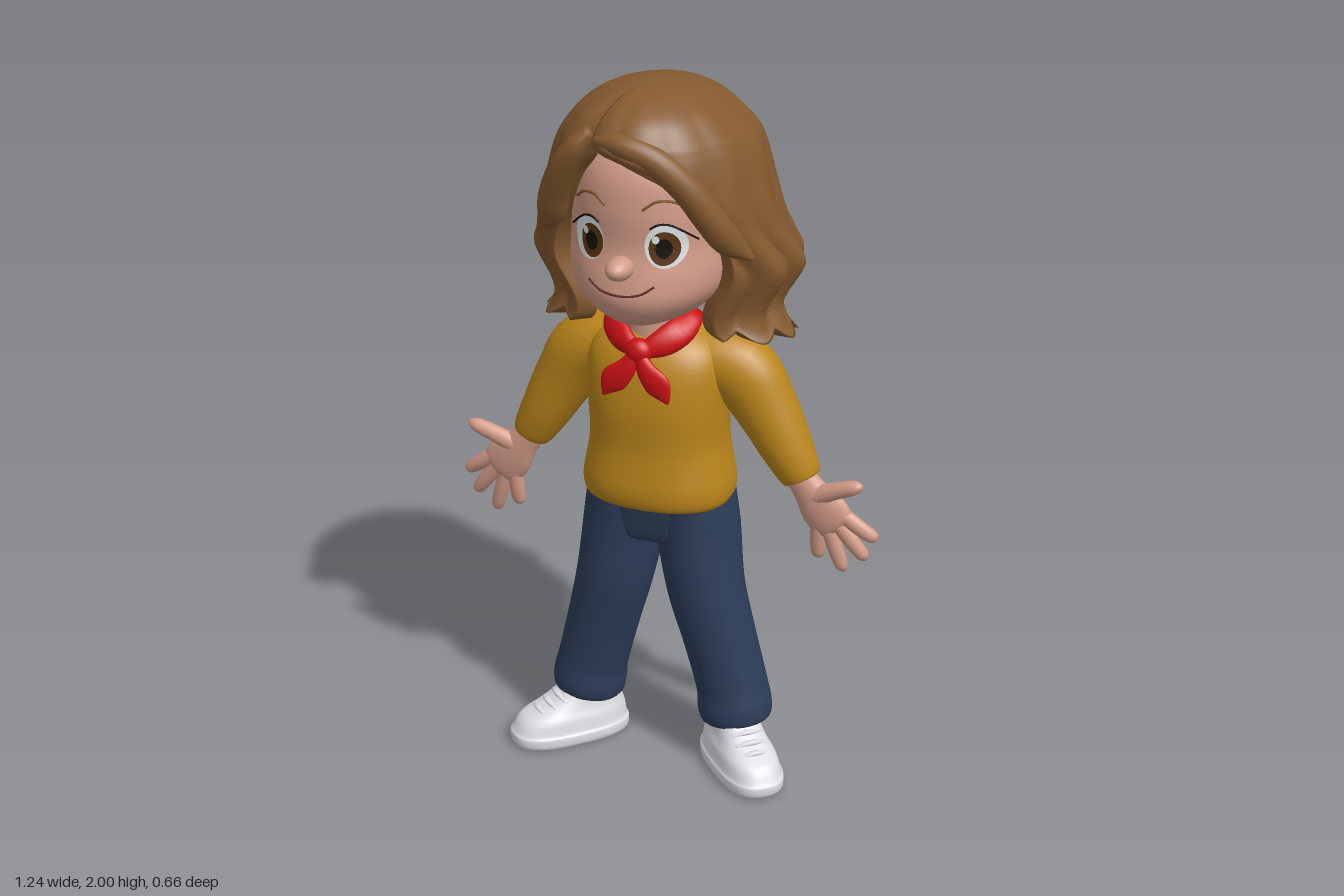
import * as THREE from 'three';

const mat = (name, color, side = THREE.FrontSide) => {
  const m = new THREE.MeshStandardMaterial({ color, side });
  m.name = name;
  return m;
};

// Smooth subdivision of a table of rows
function refine(rows, sub) {
  const out = [], at = i => rows[Math.min(rows.length - 1, Math.max(0, i))];
  for (let i = 0; i < rows.length - 1; i++) {
    const [p, q, r, s] = [at(i - 1), at(i), at(i + 1), at(i + 2)];
    for (let k = 0; k < sub; k++) {
      const t = k / sub;
      out.push(q.map((b, c) => 0.5 * (2 * b + (r[c] - p[c]) * t +
        (2 * p[c] - 5 * b + 4 * r[c] - s[c]) * t * t + (3 * b - p[c] - 3 * r[c] + s[c]) * t * t * t)));
    }
  }
  out.push(rows[rows.length - 1]);
  return out;
}

// Skin over closed rings of equal point count
function skin(rings, caps = true) {
  const n = rings[0].length, pos = [], idx = [];
  rings.forEach(r => r.forEach(p => pos.push(...p)));
  for (let i = 0; i < rings.length - 1; i++) for (let j = 0; j < n; j++) {
    const a = i * n + j, b = i * n + (j + 1) % n;
    idx.push(a, b, a + n, b, b + n, a + n);
  }
  if (caps) [0, rings.length - 1].forEach((i, end) => {
    const c = pos.length / 3;
    pos.push(...[0, 1, 2].map(k => rings[i].reduce((s, p) => s + p[k], 0) / n));
    for (let j = 0; j < n; j++) {
      const a = i * n + j, b = i * n + (j + 1) % n;
      idx.push(...(end ? [a, b, c] : [b, a, c]));
    }
  });
  const g = new THREE.BufferGeometry();
  g.setAttribute('position', new THREE.Float32BufferAttribute(pos, 3));
  g.setIndex(idx);
  g.computeVertexNormals();
  return g;
}

// Upright body from rows of [y, half width, front z, back distance]
function loft(rows, power = 1, sub = 3, n = 48) {
  const pw = v => Math.sign(v) * Math.abs(v) ** power;
  return skin(refine(rows, sub).map(([y, rx, zf, zb]) => Array.from({ length: n }, (_, j) => {
    const t = j / n * Math.PI * 2;
    return [rx * pw(Math.sin(t)), y, (zf - zb) / 2 + (zf + zb) / 2 * pw(Math.cos(t))];
  })));
}

// Limb along rows of [x, y, z, side radius, depth radius]
function limb(rows, n = 20, sub = 4) {
  const pts = refine(rows, sub), Z = new THREE.Vector3(0, 0, 1);
  const v = p => new THREE.Vector3(p[0], p[1], 0);
  return skin(pts.map((p, i) => {
    const dir = v(pts[Math.min(i + 1, pts.length - 1)]).sub(v(pts[Math.max(i - 1, 0)])).normalize();
    const s = new THREE.Vector3().crossVectors(Z, dir);
    return Array.from({ length: n }, (_, j) => {
      const a = j / n * Math.PI * 2, c = Math.cos(a) * p[3];
      return [p[0] + s.x * c, p[1] + s.y * c, p[2] + Math.sin(a) * p[4]];
    });
  }));
}

const headRows = refine([
  [1.365, 0.03, 0.16, 0.0], [1.38, 0.09, 0.215, 0.05], [1.41, 0.145, 0.255, 0.1], [1.46, 0.195, 0.28, 0.14],
  [1.52, 0.22, 0.275, 0.17], [1.6, 0.225, 0.258, 0.19], [1.7, 0.222, 0.262, 0.2], [1.8, 0.2, 0.245, 0.18],
  [1.88, 0.14, 0.17, 0.12], [1.92, 0.03, 0.06, 0.0]], 5);

// Depth of the face surface at x, y
function faceZ(x, y) {
  const i = Math.max(1, headRows.findIndex(r => r[0] >= y)), a = headRows[i - 1], b = headRows[i];
  const [, rx, zf, zb] = a.map((v, k) => v + (b[k] - v) * (y - a[0]) / (b[0] - a[0]));
  return (zf - zb) / 2 + (zf + zb) / 2 * Math.sqrt(Math.max(0, 1 - (x / rx) ** 2));
}

// Thin oval laid on the face
function faceOval(cx, cy, rx, ry, lift) {
  const g = new THREE.CircleGeometry(1, 32), p = g.attributes.position;
  for (let i = 0; i < p.count; i++) {
    const x = cx + p.getX(i) * rx, y = cy + p.getY(i) * ry;
    p.setXYZ(i, x, y, faceZ(x, y) + lift);
  }
  g.computeVertexNormals();
  return g;
}

const faceLine = (pts, r, lift = 0.002) => new THREE.TubeGeometry(
  new THREE.CatmullRomCurve3(pts.map(([x, y]) => new THREE.Vector3(x, y, faceZ(x, y) + lift))), 16, r, 6);

// Wavy hair shell, open at the face, parted on its right
function hairShell() {
  // y, half width, front z, back distance, left and right opening angles
  const rows = refine([
    [1.285, 0.355, 0.18, 0.31, 0.7, 0.7], [1.33, 0.328, 0.175, 0.28, 0.66, 0.66],
    [1.4, 0.32, 0.185, 0.285, 0.68, 0.68], [1.5, 0.372, 0.215, 0.33, 0.75, 0.75],
    [1.57, 0.352, 0.25, 0.318, 0.84, 0.84], [1.63, 0.327, 0.285, 0.308, 0.84, 0.86],
    [1.7, 0.308, 0.31, 0.305, 0.7, 0.76], [1.78, 0.285, 0.32, 0.306, 0.46, 0.62],
    [1.83, 0.268, 0.318, 0.3, 0.14, 0.48], [1.86, 0.253, 0.312, 0.285, -0.22, 0.42],
    [1.885, 0.235, 0.303, 0.26, -0.38, 0.38], [1.935, 0.19, 0.27, 0.2, -0.38, 0.38],
    [1.975, 0.125, 0.2, 0.12, -0.38, 0.38], [1.995, 0.052, 0.12, 0.0, -0.38, 0.38],
    [2.0, 0.001, 0.06, -0.06, -0.38, 0.38]], 4);
  const N = 128;
  const ring = ([y, rx, zf, zb, tl, tr], flat) => {
    const outer = [], inner = [];
    const wave = 0.02 + 0.05 * (1 - THREE.MathUtils.smoothstep(y, 1.5, 1.9));
    for (let j = 0; j <= N; j++) {
      const span = Math.PI * 2 - tr - tl, t = tl + span * j / N, u = t - Math.PI;
      const lobe = Math.abs(Math.sin(7 * u + 0.6 * Math.sin(u) * Math.sin(14 * y)));
      const d = Math.min(j, N - j) / N * span;
      const k = 1 + wave * (lobe - 0.75) - 0.05 * Math.exp(-((d / 0.14) ** 2));
      const hem = 0.03 * (1 + Math.cos(t)) - 0.035 * (lobe - 0.5);
      const yy = y + hem * Math.max(0, 1.4 - y) / 0.115;
      const put = s => [rx * s * Math.sin(t), yy, (zf - zb) / 2 + (zf + zb) / 2 * s * Math.cos(t)];
      outer.push(put(flat ? k * 0.8 : k));
      inner.unshift(put(k * 0.79));
    }
    return [...outer, ...inner];
  };
  return skin([ring(rows[0], true), ...rows.map(r => ring(r, false))], false);
}

export function createModel() {
  const root = new THREE.Group();
  root.name = 'standingGirl';
  const M = {
    hair: mat('brown hair', 0x855a2f, THREE.DoubleSide), skin: mat('skin', 0xd39c88),
    sweater: mat('mustard wool', 0xbb861b), jeans: mat('navy denim', 0x2d3d59),
    shoe: mat('white leather', 0xdcdee2), red: mat('red cloth', 0xcc1114),
    white: mat('eye white', 0xdfe6e7), iris: mat('brown iris', 0x5c3413),
    black: mat('black', 0x15100e), mouth: mat('dark lip line', 0x5e2c26),
  };
  const add = (name, geo, material, parent = root) => {
    const m = new THREE.Mesh(geo, material);
    m.name = name;
    parent.add(m);
    return m;
  };

  // Head, neck and hair
  add('head', loft(headRows, 1, 1, 64), M.skin);
  add('neck', new THREE.CylinderGeometry(0.08, 0.085, 0.16, 32).translate(0, 1.36, 0.025), M.skin);
  add('nose', new THREE.SphereGeometry(1, 24, 16).scale(0.036, 0.031, 0.055).translate(-0.005, 1.555, 0.272), M.skin);
  add('mouth', faceLine([[-0.1, 1.508], [-0.06, 1.488], [0, 1.482], [0.05, 1.49], [0.085, 1.512]], 0.003), M.mouth);
  add('hair', hairShell(), M.hair);

  // Bangs swept to both sides of the parting
  add('leftBangs', limb([[-0.075, 1.885, 0.255, 0.015, 0.03], [0.0, 1.885, 0.28, 0.032, 0.035],
    [0.09, 1.85, 0.268, 0.038, 0.04], [0.165, 1.775, 0.238, 0.04, 0.043], [0.212, 1.695, 0.205, 0.041, 0.045],
    [0.255, 1.62, 0.165, 0.038, 0.042], [0.305, 1.575, 0.13, 0.005, 0.01]]), M.hair);
  add('rightBangs', limb([[-0.09, 1.905, 0.245, 0.015, 0.03], [-0.125, 1.865, 0.258, 0.03, 0.038],
    [-0.17, 1.8, 0.243, 0.038, 0.043], [-0.21, 1.72, 0.215, 0.041, 0.045],
    [-0.24, 1.645, 0.18, 0.038, 0.045], [-0.3, 1.58, 0.13, 0.005, 0.01]]), M.hair);

  // Torso
  add('sweater', loft([[0.815, 0.185, 0.145, 0.13], [0.825, 0.207, 0.17, 0.15], [0.87, 0.213, 0.18, 0.158],
    [0.93, 0.203, 0.175, 0.152], [1.0, 0.192, 0.17, 0.148], [1.1, 0.195, 0.175, 0.146], [1.2, 0.2, 0.165, 0.148],
    [1.26, 0.19, 0.145, 0.145], [1.3, 0.155, 0.115, 0.12], [1.335, 0.1, 0.07, 0.085]], 0.85), M.sweater);
  add('trouserSeat', loft([[0.69, 0.1, 0.06, 0.06], [0.7, 0.185, 0.108, 0.11], [0.76, 0.202, 0.124, 0.128],
    [0.84, 0.2, 0.138, 0.136]], 0.82), M.jeans);
  add('neckerchiefKnot', new THREE.SphereGeometry(1, 20, 14).scale(0.038, 0.036, 0.03).translate(0, 1.287, 0.163), M.red);

  for (const s of [1, -1]) {
    const side = new THREE.Group();
    side.name = s > 0 ? 'leftSide' : 'rightSide';
    root.add(side);
    const flip = rows => rows.map(([x, ...r]) => [s * x, ...r]);
    const part = (name, rows, m, n) => add(name, limb(flip(rows), n), m, side);

    // Eye, lashes and brow; both eyes look a little to the left
    const ex = s * 0.106, ix = s > 0 ? 0.104 : -0.094;
    add('eyeWhite', faceOval(ex, 1.617, 0.05, 0.058, 0.005), M.white, side);
    add('iris', faceOval(ix, 1.612, 0.037, 0.045, 0.008), M.iris, side);
    add('pupil', faceOval(ix, 1.612, 0.02, 0.026, 0.011), M.black, side);
    add('eyeGlint', faceOval(ix - 0.018, 1.637, 0.009, 0.011, 0.0135), M.white, side);
    add('lashes', faceLine(flip([[0.07, 1.664], [0.09, 1.675], [0.115, 1.674], [0.145, 1.655], [0.175, 1.628]]), 0.003, 0.005), M.black, side);
    add('eyebrow', faceLine(flip([[0.05, 1.712], [0.085, 1.735], [0.125, 1.732], [0.155, 1.71]]), 0.004), M.hair, side);

    // Arm and hand
    part('sleeve', [[0.1, 1.24, -0.01, 0.08, 0.09], [0.22, 1.205, -0.015, 0.1, 0.093],
      [0.293, 1.105, -0.02, 0.088, 0.084], [0.35, 1.005, -0.02, 0.074, 0.075],
      [0.39, 0.935, -0.018, 0.062, 0.06], [0.402, 0.912, -0.016, 0.054, 0.05]], M.sweater, 28);
    part('palm', [[0.385, 0.94, -0.012, 0.042, 0.034], [0.425, 0.885, -0.01, 0.047, 0.032],
      [0.465, 0.835, -0.01, 0.066, 0.03], [0.5, 0.79, -0.012, 0.062, 0.024], [0.512, 0.776, -0.012, 0.04, 0.012]], M.skin);
    for (const [x, y, tx, ty] of [[0.522, 0.822, 0.614, 0.757], [0.507, 0.798, 0.587, 0.695],
      [0.483, 0.78, 0.525, 0.65], [0.455, 0.772, 0.452, 0.678]]) {
      const mid = k => [x + (tx - x) * k, y + (ty - y) * k];
      part('finger', [[...mid(-0.2), -0.012, 0.023, 0.021], [...mid(0.5), -0.018, 0.022, 0.02],
        [...mid(0.92), -0.026, 0.018, 0.018], [...mid(1.04), -0.028, 0.006, 0.006]], M.skin, 12);
    }
    part('thumb', [[0.44, 0.865, -0.005, 0.03, 0.026], [0.5, 0.895, 0.005, 0.025, 0.024],
      [0.562, 0.92, 0.012, 0.02, 0.02], [0.584, 0.928, 0.014, 0.006, 0.006]], M.skin, 12);

    // Trouser leg
    part('trouserLeg', [[0.1, 0.845, 0, 0.107, 0.135], [0.109, 0.72, -0.003, 0.117, 0.127],
      [0.136, 0.55, 0.008, 0.11, 0.113], [0.174, 0.4, 0.003, 0.104, 0.104], [0.212, 0.25, -0.002, 0.102, 0.1],
      [0.224, 0.185, 0, 0.107, 0.102], [0.228, 0.145, 0, 0.102, 0.098], [0.229, 0.138, 0, 0.08, 0.08]], M.jeans, 32);

    // Shoe with laces, toe turned outwards
    const shoe = new THREE.Group();
    shoe.name = 'shoe';
    shoe.position.set(s * 0.23, 0, 0.015);
    shoe.rotation.y = s * 0.75;
    side.add(shoe);
    add('shoeBody', loft([[0, 0.078, 0.215, 0.11], [0.008, 0.09, 0.232, 0.122], [0.035, 0.092, 0.235, 0.124],
      [0.045, 0.086, 0.228, 0.118], [0.08, 0.08, 0.205, 0.113], [0.105, 0.07, 0.155, 0.106],
      [0.135, 0.064, 0.1, 0.098], [0.17, 0.06, 0.065, 0.088]], 0.75), M.shoe, shoe);
    for (let i = 0; i < 3; i++) {
      const z = 0.095 + i * 0.03, y = 0.14 - i * 0.017;
      add('lace', limb([[-0.045, y - 0.012, z - 0.01, 0.006, 0.008], [0, y, z, 0.007, 0.01],
        [0.045, y - 0.012, z - 0.01, 0.006, 0.008]], 8), M.shoe, shoe);
    }

    // Neckerchief band and tail
    part('neckerchiefBand', [[0.01, 1.287, 0.158, 0.022, 0.018], [0.06, 1.31, 0.135, 0.038, 0.024],
      [0.1, 1.34, 0.095, 0.038, 0.03], [0.12, 1.368, 0.04, 0.02, 0.02]], M.red);
    part('neckerchiefTail', [[0.005, 1.285, 0.17, 0.014, 0.014], [0.03, 1.24, 0.182, 0.029, 0.014],
      [0.067, 1.2, 0.185, 0.036, 0.013], [0.093, 1.157, 0.186, 0.003, 0.004]], M.red);
  }
  return root;
}
